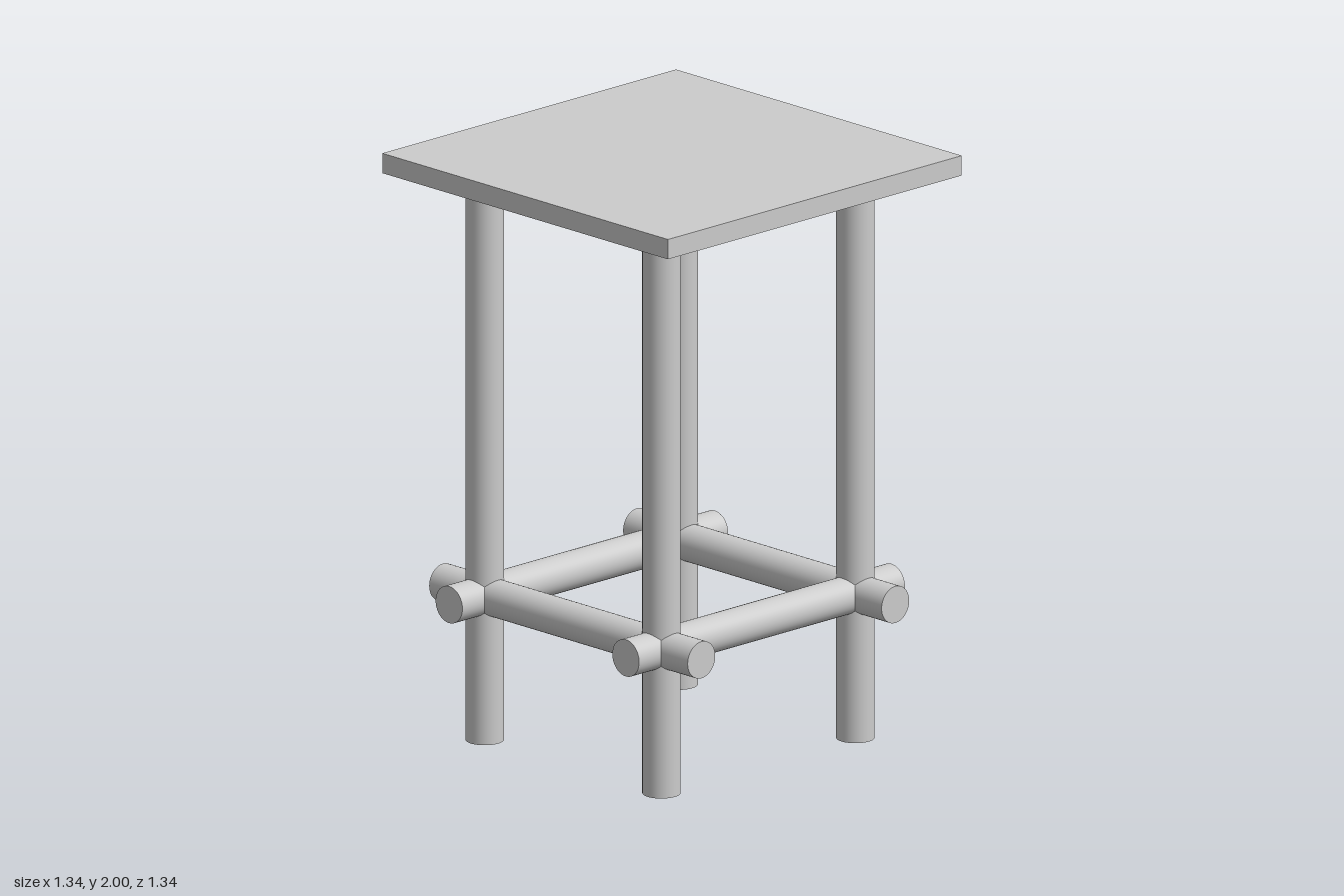
import * as THREE from 'three';

export function createModel() {
  const group = new THREE.Group();
  const material = new THREE.MeshStandardMaterial({ color: 0xcccccc });
  const radius = 0.063, railY = 0.497, railLength = 1.214;
  const legX = [-0.45, 0.436], legZ = [-0.417, 0.413];

  const add = (name, geometry, x, y, z) => {
    const mesh = new THREE.Mesh(geometry, material);
    mesh.name = name;
    mesh.position.set(x, y, z);
    group.add(mesh);
    return mesh;
  };
  const rod = (length) => new THREE.CylinderGeometry(radius, radius, length, 40);

  // Square top slab
  add('seat', new THREE.BoxGeometry(1.342, 0.068, 1.342), 0, 1.966, 0);

  // Four round legs, reaching the underside of the slab
  for (const x of legX) {
    for (const z of legZ) {
      add(`${z > 0 ? 'front' : 'back'}${x > 0 ? 'Left' : 'Right'}Leg`, rod(1.932), x, 0.966, z);
    }
  }

  // Crossing rails that run through the legs and stick out past them
  for (const z of legZ) {
    add(z > 0 ? 'frontRail' : 'backRail', rod(railLength), -0.006, railY, z).rotation.z = Math.PI / 2;
  }
  for (const x of legX) {
    add(x > 0 ? 'leftRail' : 'rightRail', rod(railLength), x, railY, -0.006).rotation.x = Math.PI / 2;
  }
  return group;
}
